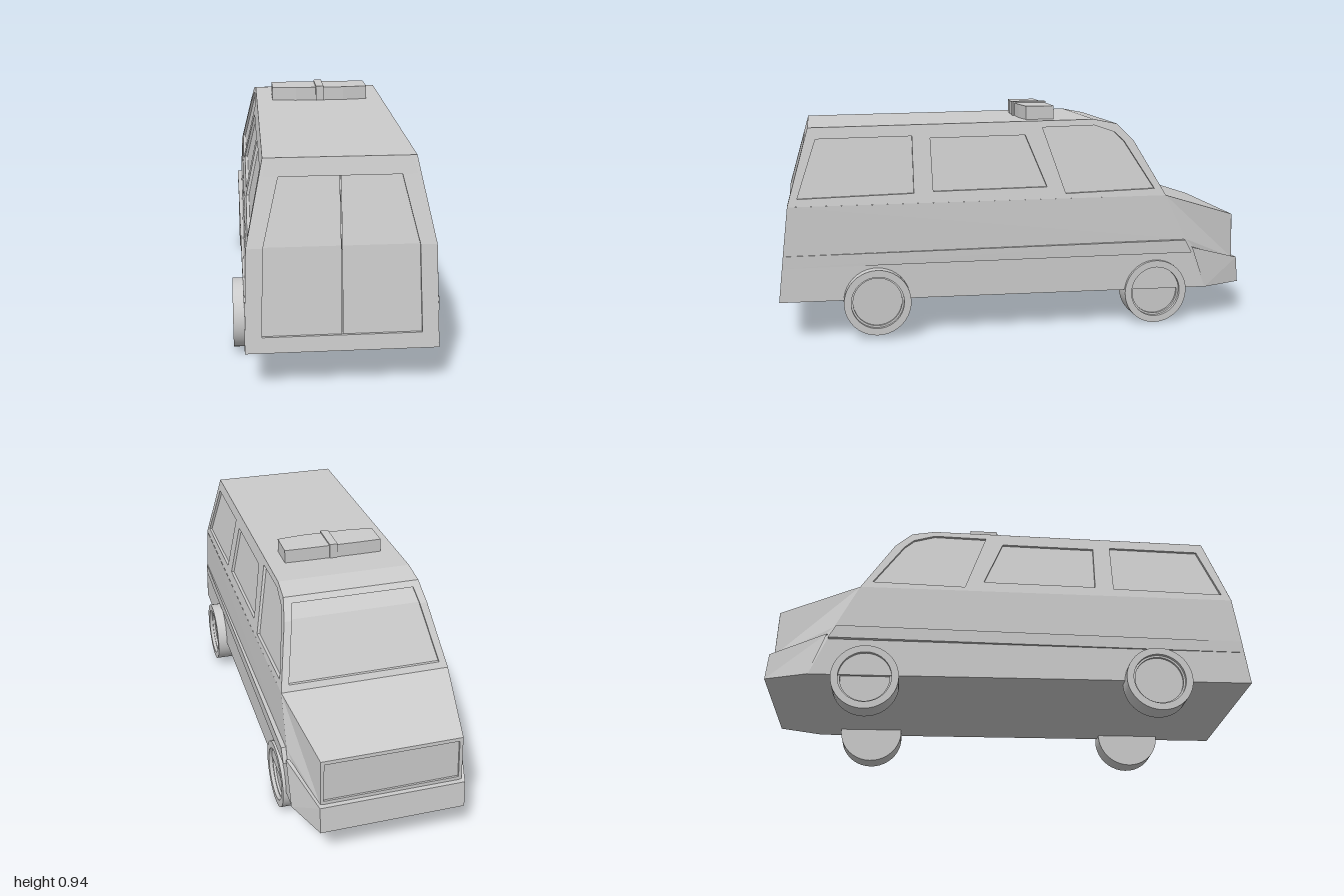
import * as THREE from 'three';

const mat = new THREE.MeshStandardMaterial({ color: 0xcccccc, flatShading: true, side: THREE.DoubleSide });
const smooth = new THREE.MeshStandardMaterial({ color: 0xcccccc, side: THREE.DoubleSide });

function add(parent, name, geometry, material = mat) {
  const mesh = new THREE.Mesh(geometry, material);
  mesh.name = name;
  parent.add(mesh);
  return mesh;
}

// Surface made of four-cornered faces, corners counter-clockwise from outside
function quads(list) {
  const g = new THREE.BufferGeometry();
  const p = list.flatMap(([a, b, c, d]) => [...a, ...b, ...c, ...a, ...c, ...d]);
  g.setAttribute('position', new THREE.Float32BufferAttribute(p, 3));
  g.computeVertexNormals();
  return g;
}

const shapeOf = pts => new THREE.Shape(pts.map(([a, b]) => new THREE.Vector2(a, b)));

// End face across the van: a frame around a recessed panel.
// rows: [y, z, outer half width, inner half width], bottom to top; face = +1 or -1 in z
function framedEnd(group, name, rows, face, depth, gap = 0) {
  const frame = [], panel = [];
  const put = (list, q) => list.push(face > 0 ? q : q.slice().reverse());
  const pt = (r, x, back = 0) => [x, r[0], r[1] - face * back];
  const last = rows.length - 1;
  for (let i = 0; i < last; i++) {
    const a = rows[i], b = rows[i + 1];
    if (i === 0 || i === last - 1) {
      const edge = i === 0 ? b : a;
      put(frame, [pt(a, -a[2]), pt(a, a[2]), pt(b, b[2]), pt(b, -b[2])]);
      put(frame, [pt(edge, -edge[3]), pt(edge, edge[3]), pt(edge, edge[3], depth), pt(edge, -edge[3], depth)]);
      continue;
    }
    for (const s of [-1, 1]) {
      const strip = [pt(a, s * a[2]), pt(a, s * a[3]), pt(b, s * b[3]), pt(b, s * b[2])];
      put(frame, s < 0 ? strip : strip.reverse());
      put(frame, [pt(a, s * a[3]), pt(a, s * a[3], depth), pt(b, s * b[3], depth), pt(b, s * b[3])]);
      const leaf = [pt(a, s * a[3], depth), pt(a, s * gap, depth), pt(b, s * gap, depth), pt(b, s * b[3], depth)];
      put(panel, s < 0 ? leaf : leaf.reverse());
    }
    if (gap) put(panel, [pt(a, -gap, depth * 2), pt(a, gap, depth * 2), pt(b, gap, depth * 2), pt(b, -gap, depth * 2)]);
  }
  add(group, name + 'Frame', quads(frame));
  add(group, name, quads(panel));
}

function sideGroup() {
  const side = new THREE.Group();
  // Upper side leans inward; windows are cut through its thickness
  const outline = [[0.955, 0.555], [0.865, 0.866], [-0.33, 0.88], [-0.43, 0.86], [-0.5, 0.79], [-0.635, 0.555]];
  const windows = [
    [[0.835, 0.82], [0.445, 0.825], [0.445, 0.595], [0.915, 0.585]],
    [[0.37, 0.815], [-0.03, 0.82], [-0.115, 0.605], [0.365, 0.6]],
    [[-0.105, 0.85], [-0.33, 0.855], [-0.42, 0.825], [-0.46, 0.785], [-0.585, 0.585], [-0.195, 0.575]],
  ];
  const depth = 0.012;
  const lean = (g, offset) => {
    const p = g.attributes.position;
    for (let i = 0; i < p.count; i++) {
      const z = p.getX(i), y = p.getY(i), out = p.getZ(i) + offset;
      p.setXYZ(i, -(0.346 - 0.213 * (y - 0.555) + out), y, z);
    }
    g.computeVertexNormals();
    return g;
  };
  const panel = shapeOf(outline);
  panel.holes = windows.map(shapeOf);
  add(side, 'upperSide', lean(new THREE.ExtrudeGeometry(panel, { depth, bevelEnabled: false }), -depth));
  windows.forEach(w => add(side, 'sideWindow', lean(new THREE.ShapeGeometry(shapeOf(w)), -depth)));

  // Lower side, then the tapered nose corner
  const rear = [[-0.358, 0.165, 1], [-0.353, 0.36, 0.978], [-0.347, 0.555, 0.955]];
  const front = [[-0.358, 0.145, -0.82], [-0.353, 0.36, -0.73], [-0.346, 0.555, -0.635]];
  const nose = [[-0.285, 0.145, -0.975], [-0.285, 0.255, -0.97], [-0.282, 0.45, -0.965]];
  const faces = [];
  for (let i = 0; i < 2; i++) {
    faces.push([front[i], rear[i], rear[i + 1], front[i + 1]]);
    faces.push([nose[i], front[i], front[i + 1], nose[i + 1]]);
  }
  add(side, 'lowerSide', quads(faces));

  // Rub strip along the flank, standing out more toward the nose
  const strip = [[-0.357, 0.305, 0.98], [-0.357, 0.355, 0.975], [-0.372, 0.36, -0.72], [-0.372, 0.305, -0.75]];
  const inner = strip.map(([, y, z]) => [-0.345, y, z]);
  add(side, 'rubStrip', quads([
    strip,
    ...strip.map((p, i) => [p, inner[i], inner[(i + 1) % 4], strip[(i + 1) % 4]]),
  ]));
  return side;
}

// Tyre and dished rim, outer face toward -x
function wheel(x, y, z) {
  const g = new THREE.Group();
  g.name = 'wheel';
  g.position.set(x, y, z);
  const lathe = (name, pts) => {
    // Points are doubled at corners so each face shades cleanly
    const profile = pts.flatMap((p, i) => (i && i < pts.length - 1 ? [p, p] : [p])).map(p => new THREE.Vector2(...p));
    add(g, name, new THREE.LatheGeometry(profile, 40), smooth).rotation.z = Math.PI / 2;
  };
  lathe('tyre', [[0, -0.045], [0.137, -0.045], [0.137, 0.045], [0.108, 0.045], [0.108, 0.03]]);
  lathe('rim', [[0.108, 0.03], [0.1, 0.03], [0.1, 0.02], [0, 0.02]]);
  return g;
}

export function createModel() {
  const van = new THREE.Group();
  van.name = 'van';

  // Both flanks with their wheels
  const right = sideGroup();
  right.name = 'rightSide';
  right.add(wheel(-0.355, 0.156, 0.605), wheel(-0.325, 0.137, -0.592));
  const left = right.clone();
  left.name = 'leftSide';
  left.scale.x = -1;
  van.add(right, left);

  // Tail doors with a slit between them
  framedEnd(van, 'tailDoors', [
    [0.165, 1, 0.358], [0.225, 0.993, 0.357, 0.295], [0.555, 0.955, 0.347, 0.285],
    [0.8, 0.884, 0.294, 0.225], [0.866, 0.865, 0.28]], 1, 0.01, 0.002);
  // Windscreen curving into the roof
  framedEnd(van, 'windscreen', [
    [0.555, -0.635, 0.346], [0.578, -0.622, 0.341, 0.312], [0.79, -0.5, 0.296, 0.265],
    [0.84, -0.45, 0.285, 0.253], [0.86, -0.43, 0.281]], -1, 0.012);
  // Grille panel
  framedEnd(van, 'grille', [
    [0.25, -0.97, 0.285], [0.27, -0.97, 0.285, 0.272], [0.435, -0.966, 0.282, 0.268], [0.45, -0.965, 0.282]], -1, 0.008);

  // Roof, bonnet and floor
  const across = (z0, y0, w0, z1, y1, w1) => [[-w0, y0, z0], [w0, y0, z0], [w1, y1, z1], [-w1, y1, z1]];
  add(van, 'roof', quads([
    across(0.865, 0.866, 0.28, -0.33, 0.88, 0.277),
    across(-0.33, 0.88, 0.277, -0.43, 0.86, 0.281)]));
  add(van, 'bonnet', quads([across(-0.635, 0.555, 0.346, -0.965, 0.45, 0.282)]));
  add(van, 'floor', quads([
    across(-0.82, 0.145, 0.358, 1, 0.165, 0.358),
    across(-0.975, 0.145, 0.285, -0.82, 0.145, 0.358)]));

  // Wraparound bumper: bottom and top edges follow the nose
  const low = [[-0.36, 0.145, -0.82], [-0.292, 0.145, -1], [0.292, 0.145, -1], [0.36, 0.145, -0.82]];
  const high = [[-0.362, 0.325, -0.755], [-0.292, 0.255, -0.99], [0.292, 0.255, -0.99], [0.362, 0.325, -0.755]];
  const back = [[-0.34, 0.325, -0.755], [-0.27, 0.255, -0.965], [0.27, 0.255, -0.965], [0.34, 0.325, -0.755]];
  const bumper = [[low[0], low[3], low[2], low[1]]];
  for (let i = 0; i < 3; i++) {
    bumper.push([low[i + 1], low[i], high[i], high[i + 1]]);
    bumper.push([high[i + 1], high[i], back[i], back[i + 1]]);
  }
  add(van, 'bumper', quads(bumper));

  // Roof light bar, slightly swept at its ends
  const bar = shapeOf([[-0.208, 0.17], [-0.105, 0.172], [0.105, 0.172], [0.208, 0.17],
    [0.208, 0.05], [0.105, 0.038], [-0.105, 0.038], [-0.208, 0.05]]);
  const barGeo = new THREE.ExtrudeGeometry(bar, { depth: 0.063, bevelEnabled: false });
  barGeo.rotateX(-Math.PI / 2).translate(0, 0.871, 0);
  add(van, 'lightBar', barGeo);
  add(van, 'lightBarDivider', new THREE.BoxGeometry(0.034, 0.068, 0.146)).position.set(0, 0.906, -0.104);

  return van;
}
